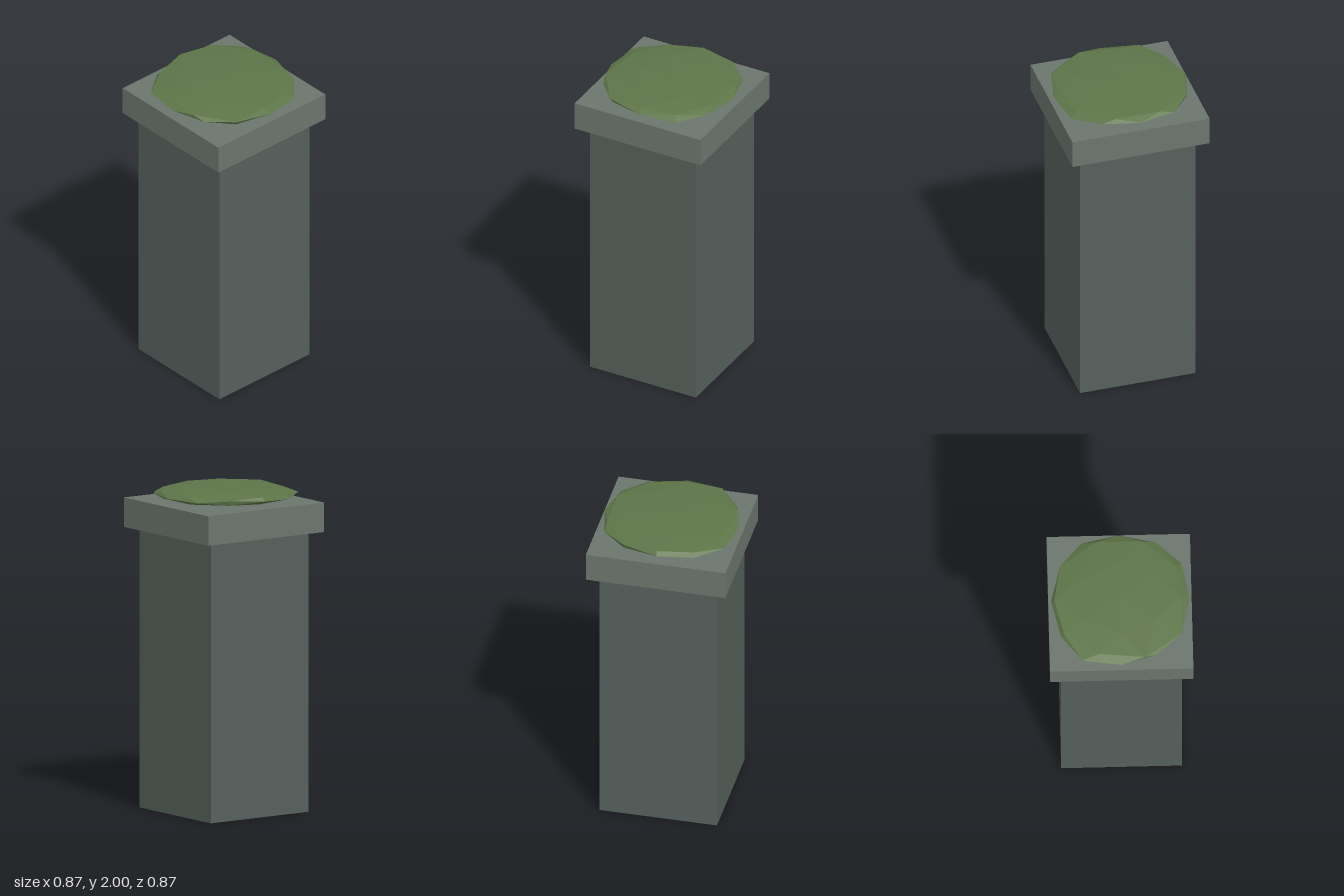
import * as THREE from 'three';

// Uneven bulge of the moss: direction (x, y, z) and radius factor
const BULGES = [
  [0.85, 0, -0.53, 1.04], [0.85, 0, 0.53, 1.03], [-0.85, 0, 0.53, 1.0], [-0.85, 0, -0.53, 1.08],
  [0.5, -0.31, 0.81, 1.12], [0.5, 0.31, 0.81, 1.0], [-0.5, 0.31, 0.81, 1.09],
  [-0.5, 0.31, -0.81, 1.02], [-0.5, -0.31, -0.81, 1.07], [0.5, 0.31, -0.81, 1.06],
  [0.81, 0.5, 0.31, 1.09], [0.81, 0.5, -0.31, 1.09], [-0.81, 0.5, 0.31, 1.12],
  [0, 0.53, 0.85, 1.05], [0, 0.53, -0.85, 1.12], [0, 0, 1, 1.01],
];

function bulge(v) {
  const hit = BULGES.find(([x, y, z]) => Math.hypot(v.x - x, v.y - y, v.z - z) < 0.1);
  if (hit) return hit[3];
  const onAxis = Math.max(Math.abs(v.x), Math.abs(v.y), Math.abs(v.z)) > 0.99;
  return onAxis ? 1 : 1.04;
}

function block(name, width, bottom, top, color) {
  const mesh = new THREE.Mesh(
    new THREE.BoxGeometry(width, top - bottom, width),
    new THREE.MeshStandardMaterial({ color }),
  );
  mesh.name = name;
  mesh.position.y = (bottom + top) / 2;
  return mesh;
}

export function createModel() {
  const group = new THREE.Group();
  group.name = 'mossyPillar';

  // Square stone shaft and overhanging cap
  group.add(block('shaft', 0.736, 0, 1.73, 0x55605b));
  group.add(block('cap', 0.874, 1.73, 1.912, 0x6b756d));

  // Flattened, irregular faceted moss cushion, hovering just above the cap
  const geometry = new THREE.IcosahedronGeometry(1, 1);
  const position = geometry.attributes.position;
  const v = new THREE.Vector3();
  for (let i = 0; i < position.count; i++) {
    v.fromBufferAttribute(position, i).normalize();
    v.multiplyScalar(0.42 * bulge(v));
    position.setXYZ(i, v.x, v.y * 0.1, v.z);
  }
  geometry.computeVertexNormals();
  const moss = new THREE.Mesh(
    geometry,
    new THREE.MeshStandardMaterial({ color: 0x5d7548, flatShading: true }),
  );
  moss.name = 'moss';
  moss.position.y = 1.958;
  group.add(moss);

  return group;
}
